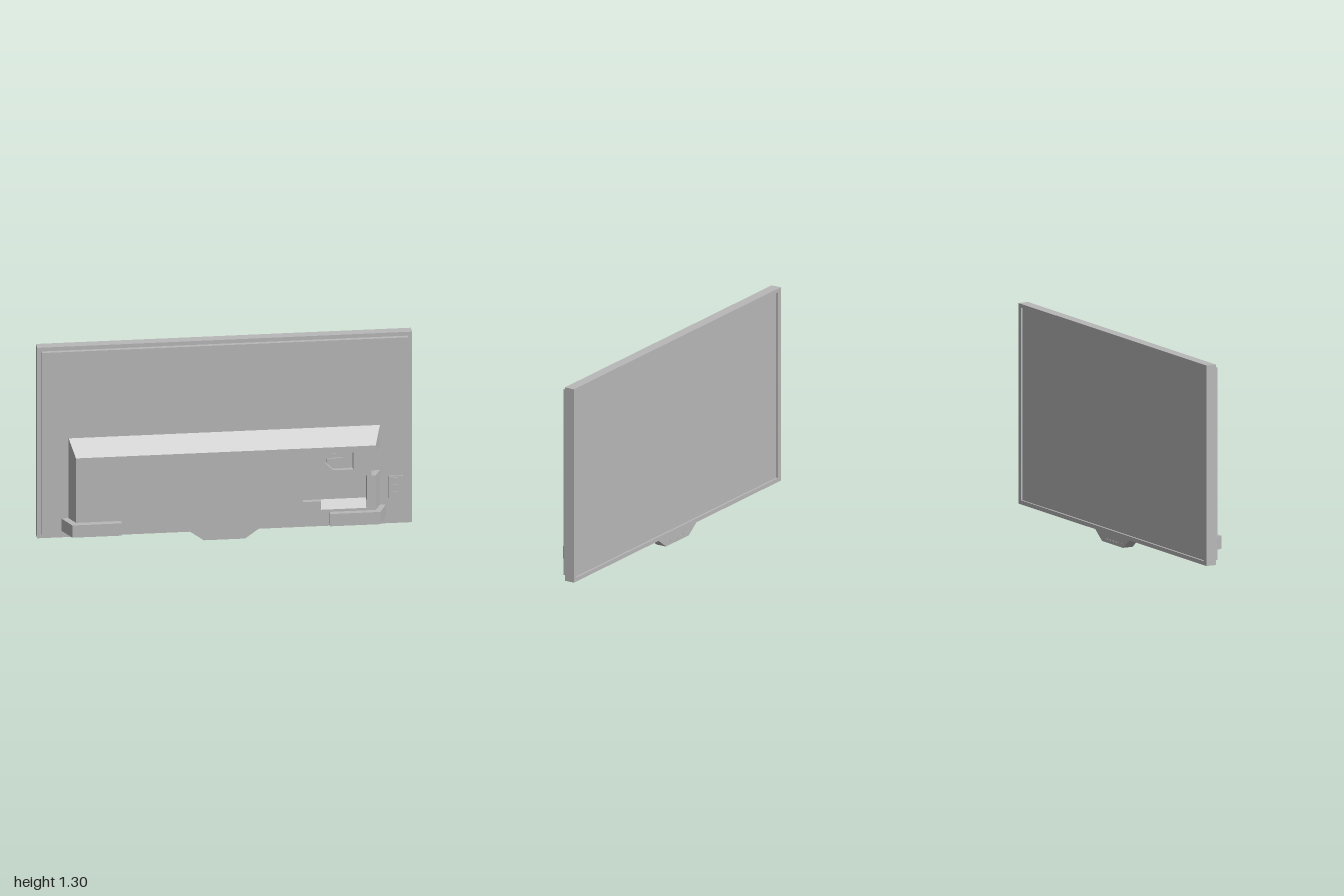
import * as THREE from 'three';

// Flat-panel television turned on its upright axis.
// Local frame: x along the width, y up, +z out of the rear housing, -z out of the screen.
export function createModel() {
  const grey = new THREE.MeshStandardMaterial({ color: 0xb8b8b8, side: THREE.DoubleSide });
  grey.name = 'grey plastic';

  const root = new THREE.Group();
  root.name = 'television';
  const tv = new THREE.Group();
  tv.name = 'turnedTelevision';
  tv.rotation.y = -0.553;
  root.add(tv);

  const add = (name, geometry) => {
    const mesh = new THREE.Mesh(geometry, grey);
    mesh.name = name;
    tv.add(mesh);
    return mesh;
  };
  const box = (name, x0, x1, y0, y1, z0, z1) => {
    const g = new THREE.BoxGeometry(x1 - x0, y1 - y0, z1 - z0);
    g.translate((x0 + x1) / 2, (y0 + y1) / 2, (z0 + z1) / 2);
    return add(name, g);
  };
  const outline = (pts) => new THREE.Shape(pts.map(([x, y]) => new THREE.Vector2(x, y)));
  const extrude = (name, shape, z0, z1) => {
    const g = new THREE.ExtrudeGeometry(shape, { depth: z1 - z0, bevelEnabled: false });
    return add(name, g.translate(0, 0, z0));
  };
  const flat = (name, shape, z) => add(name, new THREE.ShapeGeometry(shape).translate(0, 0, z));
  // Flat faces, each a fan over its corners
  const faces = (name, list) => {
    const pos = [];
    for (const f of list)
      for (let i = 1; i < f.length - 1; i++) pos.push(...f[0], ...f[i], ...f[i + 1]);
    const g = new THREE.BufferGeometry();
    g.setAttribute('position', new THREE.Float32BufferAttribute(pos, 3));
    g.computeVertexNormals();
    return add(name, g);
  };

  // Screen frame with the trapezoid chin
  const frame = outline([
    [-1.155, 0.06], [-0.217, 0.06], [-0.131, 0], [0.122, 0], [0.205, 0.06],
    [1.147, 0.06], [1.147, 1.305], [-1.155, 1.305],
  ]);
  frame.holes.push(outline([[-1.124, 0.085], [-1.124, 1.282], [1.118, 1.282], [1.118, 0.085]]));
  extrude('screenFrame', frame, -0.041, 0.026);
  box('screen', -1.124, 1.118, 0.085, 1.282, -0.028, 0.0255);
  box('backPanel', -1.13, 1.118, 0.085, 1.28, 0.02, 0.053);

  // Small marks on the chin
  for (let i = 0; i < 6; i++) {
    const x = -0.13 + i * 0.036;
    box('chinMark', x, x + 0.02, 0.018, 0.027, -0.043, -0.04);
  }

  // Rear housing: F = front plane, B = base plane
  const F = 0.138, B = 0.053, bottom = 0.115;
  const upperPocket = [[0.602, 0.575], [0.772, 0.575], [0.772, 0.465], [0.65, 0.465], [0.602, 0.51]];
  const cablePocket = [
    [0.465, 0.265], [0.465, 0.42], [0.855, 0.42], [0.855, 0.21], [0.575, 0.21], [0.575, 0.265],
  ];
  const face = outline([
    [-0.93, bottom], [0.91, bottom], [0.91, 0.42], [0.884, 0.42],
    [0.884, 0.575], [0.91, 0.575], [0.91, 0.615], [-0.93, 0.615],
  ]);
  face.holes.push(outline(upperPocket), outline(cablePocket));
  flat('housingFace', face, F);
  faces('housingSides', [
    [[-0.93, 0.615, F], [0.91, 0.615, F], [0.946, 0.715, B], [-0.965, 0.715, B]],
    [[-0.965, bottom, B], [-0.93, bottom, F], [-0.93, 0.615, F], [-0.965, 0.715, B]],
    [[-0.965, bottom, B], [0.946, bottom, B], [0.91, bottom, F], [-0.93, bottom, F]],
    [[0.91, bottom, F], [0.946, bottom, B], [0.946, 0.42, B], [0.91, 0.42, F]],
    [[0.91, 0.575, F], [0.946, 0.575, B], [0.946, 0.715, B], [0.91, 0.615, F]],
  ]);

  // Notch in the housing's end, with a column of sockets
  faces('sideNotch', [
    [[0.884, 0.42, F], [0.884, 0.42, B], [0.884, 0.575, B], [0.884, 0.575, F]],
    [[0.884, 0.42, F], [0.91, 0.42, F], [0.946, 0.42, B], [0.884, 0.42, B]],
    [[0.884, 0.575, B], [0.946, 0.575, B], [0.91, 0.575, F], [0.884, 0.575, F]],
  ]);
  for (let i = 0; i < 5; i++) {
    const y = 0.44 + i * 0.025;
    box('sideSocket', 0.883, 0.887, y, y + 0.013, 0.09, 0.105);
  }

  // Upper pocket with a raised block and a small socket
  const U = 0.108;
  flat('upperPocketFloor', outline(upperPocket), U);
  faces('upperPocketWalls', upperPocket.map(([x, y], i) => {
    const [p, q] = upperPocket[(i + 1) % upperPocket.length];
    return [[x, y, F], [x, y, U], [p, q, U], [p, q, F]];
  }));
  extrude('pocketBlock', outline([
    [0.612, 0.535], [0.71, 0.535], [0.71, 0.467], [0.655, 0.467], [0.612, 0.508],
  ]), U, U + 0.01);
  box('pocketSocket', 0.645, 0.67, 0.55, 0.562, U, U + 0.004);

  // Cable pocket with a ramp running out at its lower edge
  const C = 0.104;
  faces('cablePocket', [
    [[0.465, 0.265, C], [0.855, 0.265, C], [0.855, 0.42, C], [0.465, 0.42, C]],
    [[0.465, 0.265, F], [0.465, 0.265, C], [0.465, 0.42, C], [0.465, 0.42, F]],
    [[0.465, 0.42, F], [0.465, 0.42, C], [0.855, 0.42, C], [0.855, 0.42, F]],
    [[0.855, 0.265, C], [0.855, 0.265, F], [0.855, 0.42, F], [0.855, 0.42, C]],
    [[0.465, 0.265, C], [0.465, 0.265, F], [0.575, 0.265, F], [0.575, 0.265, C]],
    [[0.575, 0.21, F], [0.855, 0.21, F], [0.855, 0.265, C], [0.575, 0.265, C]],
    [[0.575, 0.21, F], [0.575, 0.265, C], [0.575, 0.265, F]],
    [[0.855, 0.21, F], [0.855, 0.265, F], [0.855, 0.265, C]],
  ]);
  for (let i = 0; i < 6; i++) {
    const x = 0.61 + i * 0.03;
    box('cableSocket', x, x + 0.018, 0.414, 0.421, 0.112, 0.124);
  }

  // Button plate beside the housing
  box('buttonPlate', 1.0, 1.086, 0.235, 0.38, 0.05, 0.064);
  for (const y of [0.255, 0.3, 0.345]) box('button', 1.025, 1.056, y, y + 0.026, 0.06, 0.072);

  // Corner feet wrapping the housing's lower ends
  const foot = (name, pts) => {
    const g = new THREE.ExtrudeGeometry(outline(pts.map(([x, z]) => [x, -z])), {
      depth: 0.08, bevelEnabled: false,
    });
    add(name, g.rotateX(-Math.PI / 2).translate(0, 0.114, 0));
  };
  foot('rightFoot', [[-1.01, B], [-0.957, 0.18], [-0.653, 0.18], [-0.653, B]]);
  foot('leftFoot', [[0.626, B], [0.626, 0.176], [0.935, 0.176], [0.982, B]]);

  return root;
}
